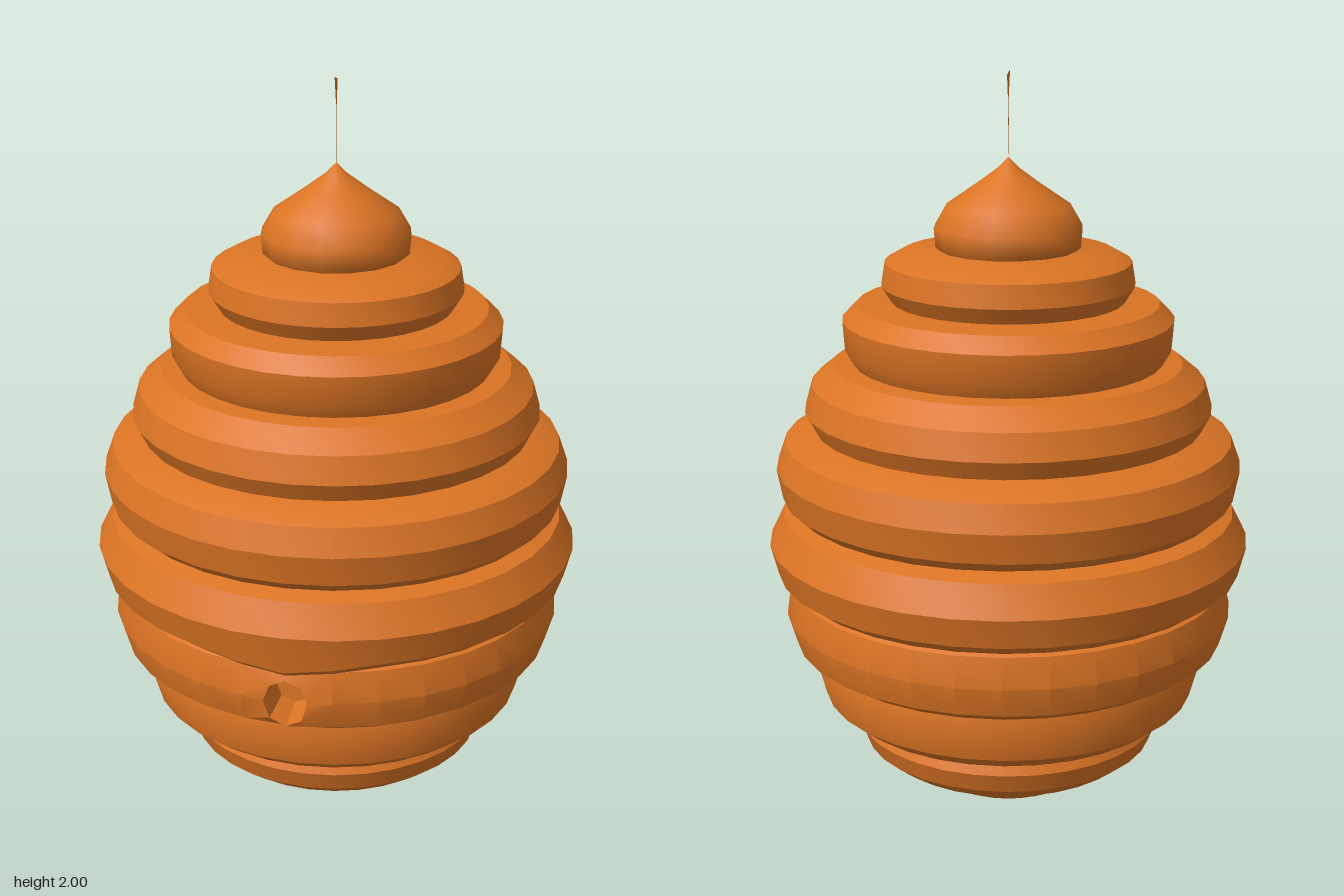
import * as THREE from 'three';
import { mergeGeometries, toCreasedNormals } from 'three/addons/utils/BufferGeometryUtils.js';

const SEG = 32;
const STEP = (Math.PI * 2) / SEG;

const honey = new THREE.MeshStandardMaterial({ color: 0xdb7424 });
honey.name = 'honey orange';
const honeyThin = new THREE.MeshStandardMaterial({ color: 0xdb7424, side: THREE.DoubleSide });
honeyThin.name = 'honey orange thin';

// Turned surface from [radius, height] pairs listed bottom to top
function turned(profile, segments = SEG, start = 0, length = Math.PI * 2) {
  const pts = profile.map(([r, y]) => new THREE.Vector2(r, y));
  const geo = new THREE.LatheGeometry(pts, segments, start, length).toNonIndexed();
  geo.deleteAttribute('uv');
  geo.deleteAttribute('normal');
  return geo;
}

function addMesh(group, name, geo, material = honey, crease = 0.5) {
  const mesh = new THREE.Mesh(toCreasedNormals(geo, crease), material);
  mesh.name = name;
  group.add(mesh);
  return mesh;
}

function fromTriangles(vectors) {
  const geo = new THREE.BufferGeometry();
  geo.setFromPoints(vectors);
  return geo;
}

export function createModel() {
  const hive = new THREE.Group();
  hive.name = 'beehive';

  // Rounded base
  addMesh(hive, 'base', turned(
    [[0, 0], [0.1, 0.01], [0.2, 0.045], [0.26, 0.08], [0.3, 0.135]]), honey, 0.8);

  // Stacked rings, without the one that holds the entrance
  const rings = [
    [[0.27, 0.13], [0.35, 0.13], [0.4, 0.17], [0.42, 0.225], [0.4, 0.27], [0.36, 0.28]],
    [[0.36, 0.275], [0.46, 0.275], [0.51, 0.315], [0.53, 0.39], [0.52, 0.44], [0.46, 0.455]],
    [[0.5, 0.64], [0.59, 0.645], [0.63, 0.675], [0.65, 0.755], [0.61, 0.835], [0.5, 0.87]],
    [[0.5, 0.855], [0.58, 0.857], [0.61, 0.885], [0.625, 0.965], [0.6, 1.035], [0.54, 1.065], [0.46, 1.08]],
    [[0.44, 1.07], [0.52, 1.07], [0.545, 1.12], [0.525, 1.19], [0.465, 1.24], [0.36, 1.25]],
    [[0.33, 1.24], [0.41, 1.24], [0.435, 1.285], [0.44, 1.36], [0.4, 1.4], [0.27, 1.41]],
    [[0.22, 1.4], [0.305, 1.4], [0.335, 1.45], [0.325, 1.51], [0.28, 1.535], [0.12, 1.545]],
  ];
  rings.forEach((profile, i) => {
    const geo = turned(profile);
    if (i === 2) {
      // Pull the lower rim down into a small brow above the entrance
      const p = geo.attributes.position;
      for (let v = 0; v < p.count; v++) {
        if (p.getZ(v) > 0 && p.getY(v) < 0.7) {
          p.setY(v, p.getY(v) - 0.028 * Math.max(0, 1 - Math.abs(p.getX(v)) / 0.24));
        }
      }
    }
    addMesh(hive, 'ring' + (i + 1), geo);
  });

  // Entrance ring: full lower and upper bands, with a gap in the middle band
  const band = [[0.587, 0.475], [0.61, 0.555], [0.592, 0.635]];
  addMesh(hive, 'entranceRingLower', turned([[0.45, 0.445], [0.545, 0.447], band[0]]));
  addMesh(hive, 'entranceRingUpper', turned([band[2], [0.565, 0.652], [0.5, 0.66]]));

  // Octagonal opening joined to the edge of the gap
  const outer = [], rim = [], back = [];
  for (let k = 0; k < 8; k++) {
    const c = Math.cos((k * Math.PI) / 4), s = Math.sin((k * Math.PI) / 4);
    const [r, y] = band[Math.round(s) + 1];
    const phi = Math.round(c) * STEP;
    outer.push(new THREE.Vector3(r * Math.sin(phi), y, r * Math.cos(phi)));
    rim.push(new THREE.Vector3(0.058 * c, 0.546 + 0.065 * s, 0.604));
    back.push(new THREE.Vector3(0.05 * c, 0.546 + 0.055 * s, 0.5));
  }
  const frame = [], tunnel = [];
  const centre = new THREE.Vector3(0, 0.546, 0.5);
  for (let k = 0; k < 8; k++) {
    const n = (k + 1) % 8;
    frame.push(rim[k], outer[k], outer[n], rim[k], outer[n], rim[n]);
    tunnel.push(back[k], rim[k], rim[n], back[k], rim[n], back[n]);
    tunnel.push(centre, back[k], back[n]);
  }
  addMesh(hive, 'entranceRingMiddle', mergeGeometries([
    turned(band, SEG - 2, STEP, Math.PI * 2 - 2 * STEP),
    fromTriangles(frame),
  ]));
  addMesh(hive, 'entranceTunnel', fromTriangles(tunnel));

  // Pointed cap
  addMesh(hive, 'cap', turned(
    [[0.1, 1.525], [0.17, 1.53], [0.193, 1.55], [0.197, 1.6], [0.165, 1.655],
      [0.085, 1.71], [0.028, 1.752], [0, 1.78]], 16), honey, 0.9);

  // Flat strand rising from the tip, flaring at its end
  const strand = new THREE.Shape([
    [-0.001, 1.77], [0.001, 1.77], [0.001, 1.83], [0.005, 1.87], [0.001, 1.92],
    [0.02, 2], [-0.016, 1.99], [-0.004, 1.92], [-0.004, 1.84],
  ].map(([z, y]) => new THREE.Vector2(z, y)));
  const strandGeo = new THREE.ShapeGeometry(strand);
  strandGeo.rotateY(-Math.PI / 2);
  addMesh(hive, 'hangingStrand', strandGeo, honeyThin);

  return hive;
}
